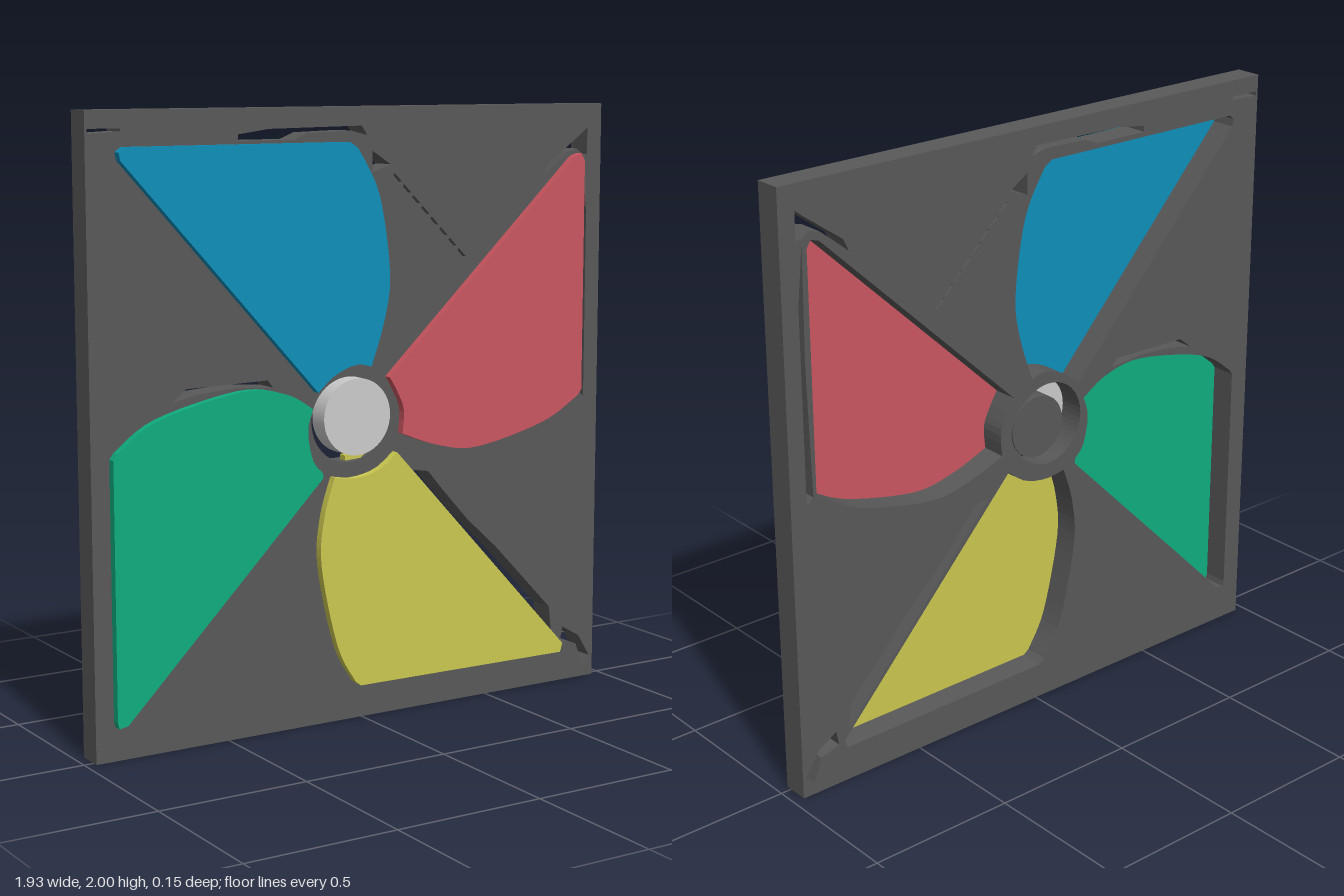
import * as THREE from 'three';

const FRONT = 0.02, BACK = -0.07;

// Blade outlines: straight edge corners, curved outer edge, concave hub edge
const BLADES = [
  { name: 'blueBlade', color: 0x0e8fba,
    straight: [[-0.18, 1.10], [-0.865, 1.85], [-0.87, 1.875], [-0.85, 1.89], [-0.06, 1.89], [-0.03, 1.87]],
    curve: [[0.05, 1.72], [0.09, 1.47], [0.07, 1.32], [0.02, 1.17]],
    hub: [[-0.04, 1.18], [-0.12, 1.15], [-0.18, 1.10]] },
  { name: 'redBlade', color: 0xcb5661,
    straight: [[0.09, 1.13], [0.83, 1.825], [0.86, 1.835], [0.875, 1.81], [0.875, 1.03], [0.86, 1.01]],
    curve: [[0.71, 0.93], [0.44, 0.87], [0.28, 0.89], [0.14, 0.94]],
    hub: [[0.145, 1.02], [0.12, 1.08], [0.09, 1.13]] },
  { name: 'yellowBlade', color: 0xcbc850,
    straight: [[0.12, 0.88], [0.81, 0.14], [0.80, 0.11], [-0.02, 0.115], [-0.04, 0.13]],
    curve: [[-0.11, 0.26], [-0.17, 0.53], [-0.16, 0.69], [-0.12, 0.82]],
    hub: [[-0.04, 0.81], [0.05, 0.83], [0.12, 0.88]] },
  { name: 'greenBlade', color: 0x0fad80,
    straight: [[-0.165, 0.82], [-0.87, 0.115], [-0.90, 0.11], [-0.905, 0.13], [-0.905, 0.95], [-0.89, 0.97]],
    curve: [[-0.75, 1.06], [-0.46, 1.125], [-0.30, 1.105], [-0.20, 1.05]],
    hub: [[-0.22, 0.98], [-0.20, 0.88], [-0.165, 0.84], [-0.165, 0.82]] },
];

// Ragged gaps in the plate next to the blades
const GAPS = [
  [[-0.45, 1.90], [-0.45, 1.92], [-0.34, 1.935], [0, 1.94], [0.02, 1.91], [-0.04, 1.925], [-0.2, 1.92], [-0.25, 1.90]],
  [[0.04, 1.86], [0.11, 1.815], [0.04, 1.79]],
  [[0.72, 1.76], [0.74, 1.80], [0.88, 1.90], [0.905, 1.92], [0.905, 1.83], [0.885, 1.83], [0.86, 1.85], [0.82, 1.84]],
  [[0.885, 1.82], [0.905, 1.63], [0.905, 1.0], [0.88, 1.02], [0.89, 1.45]],
  [[0.20, 0.81], [0.26, 0.80], [0.32, 0.73], [0.42, 0.62], [0.54, 0.51], [0.77, 0.27], [0.78, 0.18]],
  [[0.82, 0.14], [0.83, 0.19], [0.90, 0.15], [0.95, 0.07], [0.92, 0.04], [0.89, 0.12]],
  [[-0.69, 1.105], [-0.64, 1.145], [-0.35, 1.15], [-0.33, 1.125], [-0.46, 1.135], [-0.6, 1.125]],
  [[-0.96, 1.93], [-0.96, 1.945], [-0.85, 1.945], [-0.85, 1.935]],
];

const vecs = (pts) => pts.map(([x, y]) => new THREE.Vector2(x, y));

function bladePoints({ straight, curve, hub }) {
  const arc = new THREE.SplineCurve(vecs([straight.at(-1), ...curve])).getPoints(24);
  const inner = new THREE.SplineCurve(vecs([curve.at(-1), ...hub])).getPoints(10);
  return [...vecs(straight.slice(0, -1)), ...arc, ...inner.slice(1, -1)];
}

// Shrinks an outline slightly so that the blade covers its opening
function inset(points, k) {
  const c = points.reduce((s, p) => s.add(p), new THREE.Vector2()).divideScalar(points.length);
  return points.map((p) => p.clone().sub(c).multiplyScalar(k).add(c));
}

function slab(name, shape, z0, z1, material) {
  const geo = new THREE.ExtrudeGeometry(shape, { depth: z1 - z0, bevelEnabled: false, curveSegments: 24 });
  geo.translate(0, 0, z0);
  const mesh = new THREE.Mesh(geo, material);
  mesh.name = name;
  return mesh;
}

function disc(name, x, y, radius, z0, z1, material) {
  const geo = new THREE.CylinderGeometry(radius, radius, z1 - z0, 48).rotateX(Math.PI / 2);
  const mesh = new THREE.Mesh(geo, material);
  mesh.position.set(x, y, (z0 + z1) / 2);
  mesh.name = name;
  return mesh;
}

export function createModel() {
  const group = new THREE.Group();
  group.name = 'fanPanel';
  const mat = (color) => new THREE.MeshStandardMaterial({ color });
  const dark = mat(0x595959);

  // Square plate with blade openings, a hub hole and ragged gaps
  const plate = new THREE.Shape(vecs([[-0.967, 0], [0.963, 0], [0.963, 2], [-0.967, 2]]));
  for (const blade of BLADES) plate.holes.push(new THREE.Path(inset(bladePoints(blade), 0.985)));
  for (const gap of GAPS) plate.holes.push(new THREE.Path(vecs(gap)));
  plate.holes.push(new THREE.Path().absarc(-0.05, 1.0, 0.14, 0, Math.PI * 2, true));

  // Dashed diagonal slit
  for (let i = 0; i < 8; i++) {
    const x = 0.12 + i * 0.036, y = 1.78 - i * 0.036, w = 0.006;
    plate.holes.push(new THREE.Path(vecs([[x, y], [x + w, y + w], [x + 0.028 + w, y - 0.028 + w], [x + 0.028, y - 0.028]])));
  }
  group.add(slab('plate', plate, BACK, FRONT, dark));

  // Four coloured blades lying over the openings
  for (const blade of BLADES) {
    group.add(slab(blade.name, new THREE.Shape(bladePoints(blade)), FRONT - 0.005, 0.048, mat(blade.color)));
  }

  // Hub: front cap, rear disc and a sliver of yellow behind the cap
  group.add(disc('hubCap', -0.05, 1.015, 0.125, 0, 0.073, mat(0xcccccc)));
  group.add(disc('rearHub', 0, 1.005, 0.105, -0.075, 0, dark));
  const sliver = new THREE.Shape(vecs([[-0.07, 0.868], [-0.01, 0.872], [0.05, 0.92], [0.06, 0.94], [0, 0.90], [-0.07, 0.885]]));
  group.add(slab('hubSliver', sliver, 0.0, 0.03, mat(0xcbc850)));

  return group;
}
